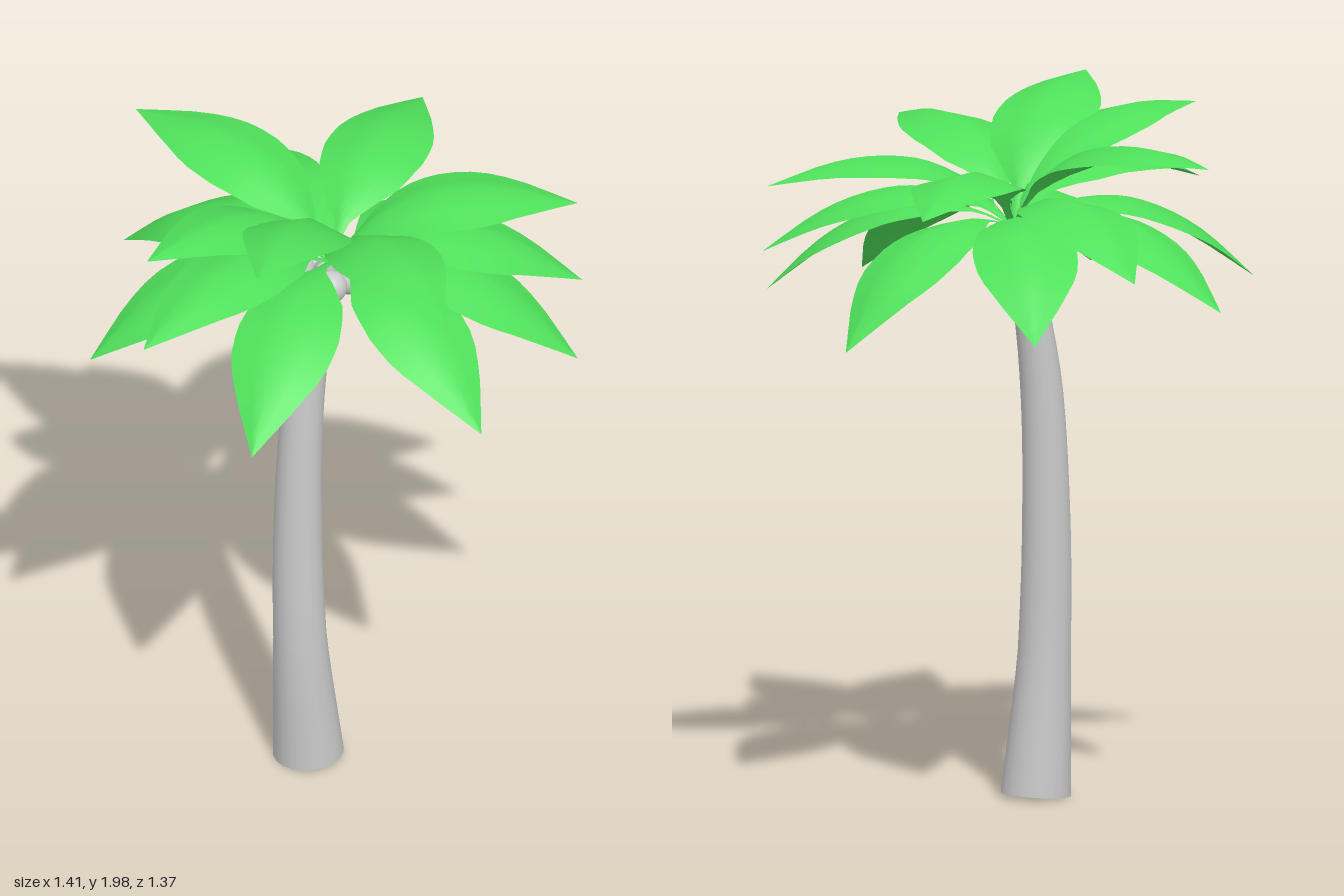
import * as THREE from 'three';

const V = (x, y, z) => new THREE.Vector3(x, y, z);
const grey = new THREE.MeshStandardMaterial({ color: 0xcccccc, side: THREE.DoubleSide });
const green = new THREE.MeshStandardMaterial({ color: 0x4fe05a, side: THREE.DoubleSide });
const crown = V(0, 1.64, 0.01);

// piecewise linear lookup in [[t, value], ...]
function lookup(table, t) {
  for (let i = 1; i < table.length; i++) {
    const [a, va] = table[i - 1], [b, vb] = table[i];
    if (t <= b) return THREE.MathUtils.lerp(va, vb, (t - a) / (b - a));
  }
  return table[table.length - 1][1];
}

// curved, tapering open trunk: a tube whose rings are rescaled along the path
function makeTrunk() {
  const path = new THREE.CatmullRomCurve3([
    V(-0.07, 0.012, 0.04), V(-0.095, 0.4, 0.05), V(-0.1, 0.8, 0.042),
    V(-0.082, 1.2, 0.03), V(-0.035, 1.5, 0.015), V(-0.005, 1.62, 0.01)]);
  const radii = [[0, 0.1], [0.24, 0.076], [0.48, 0.069], [0.73, 0.06], [0.92, 0.046], [1, 0.042]];
  const rings = 24, sides = 20;
  const geo = new THREE.TubeGeometry(path, rings, 1, sides);
  const pos = geo.attributes.position, p = V(0, 0, 0);
  for (let i = 0; i <= rings; i++) {
    const c = path.getPointAt(i / rings), r = lookup(radii, i / rings);
    for (let j = 0; j <= sides; j++) {
      const k = i * (sides + 1) + j;
      p.fromBufferAttribute(pos, k).sub(c).multiplyScalar(r).add(c);
      pos.setXYZ(k, p.x, p.y, p.z);
    }
  }
  const trunk = new THREE.Mesh(geo, grey);
  trunk.name = 'trunk';
  return trunk;
}

// one leaf template: half width and height of the arch above the chord from crown to tip
const halfWidths = [[0, 0.01], [0.12, 0.014], [0.2, 0.06], [0.33, 0.125], [0.48, 0.148],
  [0.6, 0.146], [0.7, 0.124], [0.82, 0.08], [1, 0.001]];
const arch = new THREE.SplineCurve([[0, 0], [0.1, 0.06], [0.22, 0.112], [0.37, 0.143], [0.5, 0.145],
  [0.65, 0.125], [0.8, 0.083], [1, 0]].map(([t, h]) => new THREE.Vector2(t, h)));

// arching leaf: narrow stalk, broad blade, pointed tip, edges folded down a little
function makeLeaf(tip) {
  const chord = tip.clone().sub(crown);
  const across = V(chord.z, 0, -chord.x).normalize();
  const up = chord.clone().cross(across).normalize();
  const geo = new THREE.PlaneGeometry(1, 1, 4, 16);
  const pos = geo.attributes.position;
  for (let k = 0; k < pos.count; k++) {
    const s = pos.getX(k) * 2;
    const a = arch.getPoint(0.5 - pos.getY(k));
    const w = lookup(halfWidths, a.x);
    const p = crown.clone().addScaledVector(chord, a.x).addScaledVector(across, s * w)
      .addScaledVector(up, a.y - 0.28 * w * Math.abs(s));
    pos.setXYZ(k, p.x, p.y, p.z);
  }
  geo.computeVertexNormals();
  return new THREE.Mesh(geo, green);
}

export function createModel() {
  const model = new THREE.Group();
  model.name = 'palmTree';
  model.add(makeTrunk());

  // leaf tips around the crown
  const tips = [
    [-0.24, 1.58, -0.68], [0.045, 1.41, -0.69], [0.35, 1.76, -0.6], [0.54, 1.36, -0.41],
    [0.7, 1.77, 0.01], [0.7, 1.57, 0.1], [0.66, 1.43, 0.285], [0.335, 1.43, 0.625],
    [0.22, 1.86, 0.68], [-0.295, 1.985, 0.58], [-0.32, 1.43, 0.645], [-0.6, 1.695, 0.455],
    [-0.575, 1.925, 0.355], [-0.705, 1.46, 0.135], [-0.52, 1.455, -0.46], [-0.48, 1.87, -0.495]];
  const leaves = new THREE.Group();
  leaves.name = 'leaves';
  tips.forEach((t, i) => {
    const leaf = makeLeaf(V(...t));
    leaf.name = `leaf${i + 1}`;
    leaves.add(leaf);
  });
  model.add(leaves);

  // coconuts clustered under the leaves
  const nuts = new THREE.Group();
  nuts.name = 'coconuts';
  const nutGeo = new THREE.SphereGeometry(0.048, 20, 14);
  [[-0.09, 1.6, -0.03], [-0.01, 1.585, 0.055], [0.055, 1.58, 0.01], [0.03, 1.555, -0.07], [-0.03, 1.59, -0.07]]
    .forEach((c, i) => {
      const nut = new THREE.Mesh(nutGeo, grey);
      nut.name = `coconut${i + 1}`;
      nut.position.set(...c);
      nuts.add(nut);
    });
  model.add(nuts);
  return model;
}
